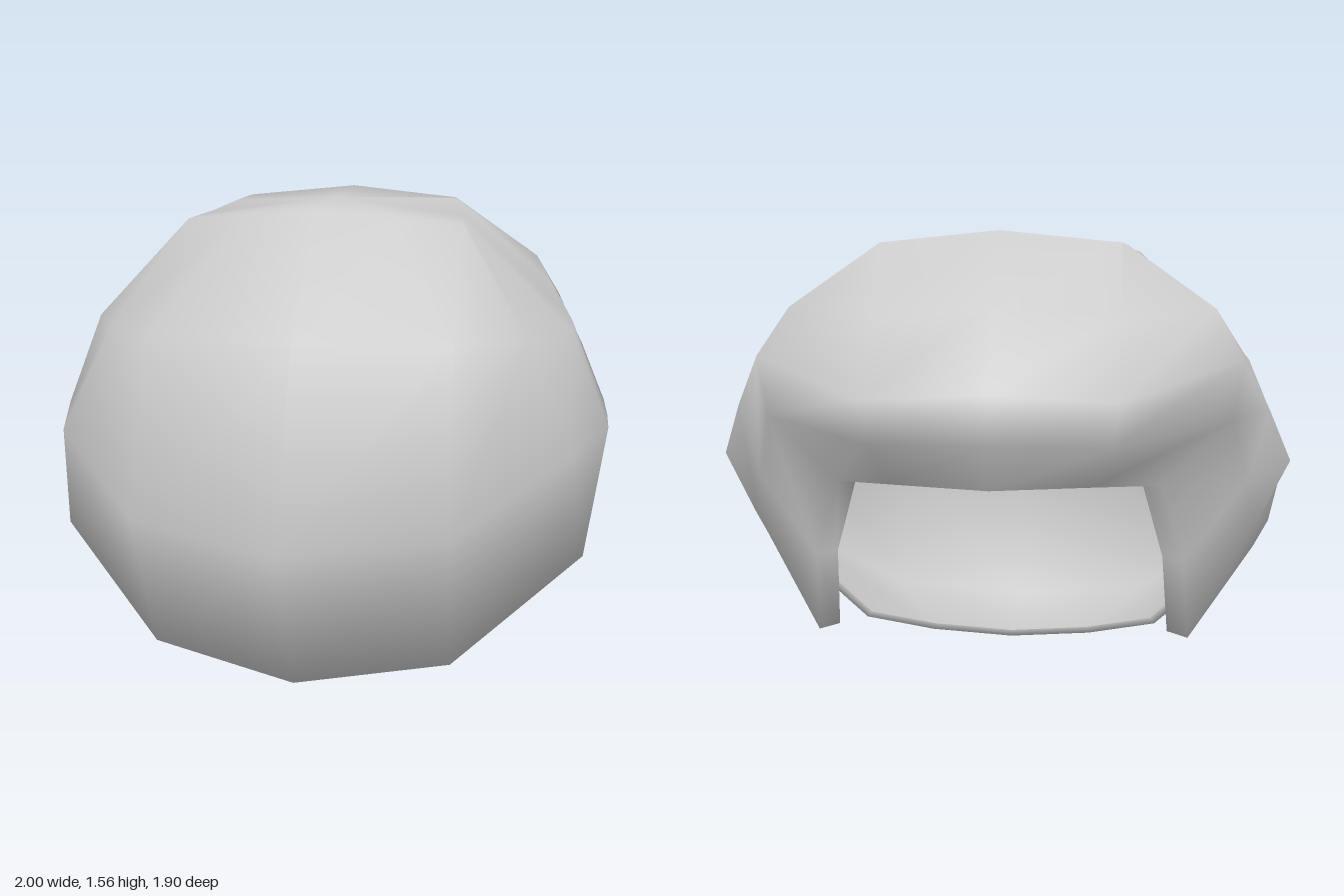
import * as THREE from 'three';

// Half cross-sections, each running from the front centre round the left side to the back centre.
const sections = {
  rim: [[0, 0, 0.09], [0.3, 0.03, 0.06], [0.55, 0.09, 0.01], [0.92, 0.42, 0.02], [0.9, 0.42, -0.07],
    [0.65, 0.16, -0.36], [0.62, 0.47, -0.49], [0.54, 0.73, -0.51], [0.32, 0.77, -0.75], [0, 0.77, -0.83]],
  lower: [[0, 0, 0.71], [0.51, 0.06, 0.6], [0.93, 0.37, 0.32], [0.95, 0.48, 0.14], [0.95, 0.52, -0.08],
    [0.88, 0.55, -0.28], [0.83, 0.73, -0.42], [0.77, 0.95, -0.51], [0.38, 0.91, -0.83], [0, 0.92, -0.89]],
  widest: [[0, 0.53, 0.95], [0.52, 0.57, 0.79], [0.88, 0.76, 0.45], [1, 0.77, 0.1], [1, 0.77, -0.1],
    [0.99, 0.78, -0.29], [0.9, 0.97, -0.41], [0.8, 1.15, -0.52], [0.4, 1.05, -0.86], [0, 1.08, -0.95]],
  upper: [[0, 1.14, 0.71], [0.5, 1.14, 0.61], [0.72, 1.12, 0.37], [0.86, 1.11, 0.1], [0.86, 1.11, -0.1],
    [0.83, 1.14, -0.23], [0.78, 1.21, -0.32], [0.715, 1.305, -0.41], [0.4, 1.285, -0.635], [0, 1.32, -0.69]],
  crown: [[0, 1.53, 0.34], [0.26, 1.505, 0.27], [0.48, 1.48, 0.2], [0.47, 1.485, 0.08], [0.455, 1.49, -0.03],
    [0.44, 1.5, -0.13], [0.425, 1.51, -0.24], [0.405, 1.52, -0.36], [0.4, 1.52, -0.41], [0, 1.56, -0.42]],
};

// Closes a half section into a loop by mirroring it in x.
function mirrorLoop(half) {
  const other = half.slice(1, -1).reverse().map(([x, y, z]) => [-x, y, z]);
  return [...half, ...other];
}

// Joins the loops from bottom to top and closes the last one with a centre point.
function loft(loops, pole) {
  const n = loops[0].length;
  const index = [];
  for (let i = 0; i < loops.length; i++) {
    for (let j = 0; j < n; j++) {
      const k = (j + 1) % n;
      const a = i * n + j, b = i * n + k;
      if (i === loops.length - 1) index.push(a, b, loops.length * n);
      else index.push(a, b, b + n, a, b + n, a + n);
    }
  }
  const geometry = new THREE.BufferGeometry();
  geometry.setAttribute('position', new THREE.Float32BufferAttribute([...loops.flat(2), ...pole], 3));
  geometry.setIndex(index);
  geometry.computeVertexNormals();
  return geometry;
}

export function createModel() {
  const group = new THREE.Group();
  group.name = 'hairShell';
  const material = new THREE.MeshStandardMaterial({ color: 0xcccccc, side: THREE.DoubleSide });

  // Open shell with two side locks and a lip turned in at the rim, wider on the locks
  const lip = sections.rim.map(([x, y, z], i) => {
    const sideScale = i > 4 && i < 8 ? 0.89 : 0.97;
    return [x * sideScale, 0.8 + (y - 0.8) * 0.97, z * 0.97];
  });
  const loops = [lip, ...Object.values(sections)].map(mirrorLoop);
  const shell = new THREE.Mesh(loft(loops, [0, 1.545, -0.04]), material);
  shell.name = 'shell';
  group.add(shell);
  return group;
}
